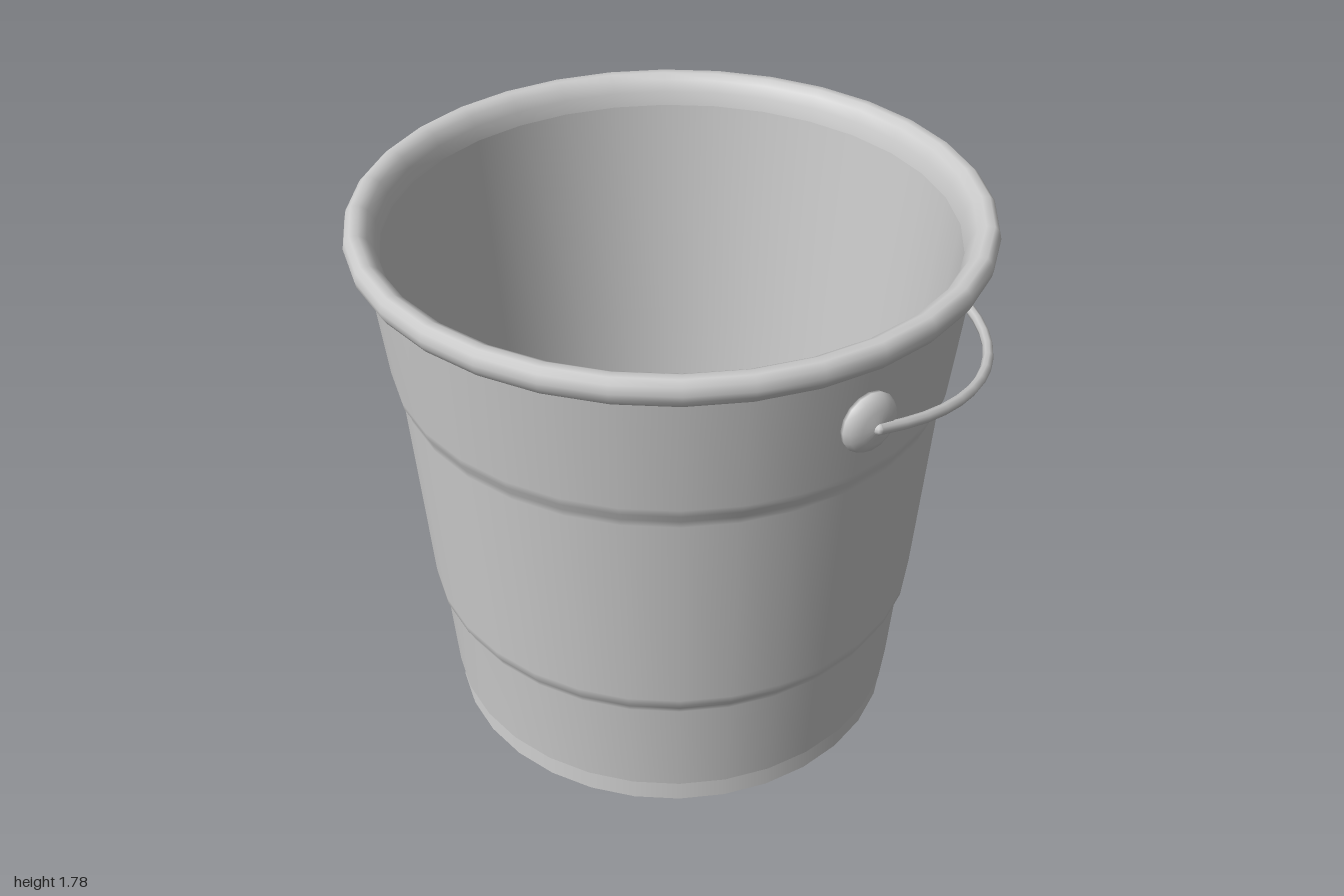
import * as THREE from 'three';

const SIDES = 32;
const CENTRE_Z = 0.02;

const material = new THREE.MeshStandardMaterial({ color: 0xcccccc });

// Turned part from [radius, height] pairs
function turned(name, profile, sides = SIDES) {
  const points = profile.map(([r, y]) => new THREE.Vector2(r, y));
  const mesh = new THREE.Mesh(new THREE.LatheGeometry(points, sides), material);
  mesh.name = name;
  return mesh;
}

export function createModel() {
  const model = new THREE.Group();
  model.name = 'bucket';

  const pail = new THREE.Group();
  pail.name = 'pail';
  pail.position.z = CENTRE_Z;
  model.add(pail);

  // Recessed underside and the foot ring around it
  pail.add(turned('underside', [[0, 0.05], [0.73, 0.05]]));
  pail.add(turned('footInside', [[0.73, 0.05], [0.735, 0]]));
  pail.add(turned('footBase', [[0.735, 0], [0.75, 0]]));
  pail.add(turned('foot', [[0.75, 0], [0.745, 0.08]]));
  pail.add(turned('bodyLip', [[0.745, 0.08], [0.76, 0.08]]));

  // Tapered outer wall with two stepped bands
  pail.add(turned('outerWall', [
    [0.76, 0.08], [0.785, 0.43], [0.79, 0.45], [0.807, 0.475], [0.81, 0.5],
    [0.859, 1.22], [0.864, 1.245], [0.88, 1.275], [0.885, 1.3], [0.925, 1.68],
  ]));

  // Rolled rim
  pail.add(turned('rim', [
    [0.925, 1.68], [0.945, 1.69], [0.966, 1.705], [0.978, 1.725], [0.982, 1.745],
    [0.976, 1.77], [0.96, 1.785], [0.935, 1.785], [0.91, 1.77], [0.89, 1.735], [0.88, 1.69],
  ]));

  // Smooth inner wall running into the floor
  pail.add(turned('innerWall', [
    [0.88, 1.69], [0.8, 0.9], [0.725, 0.14], [0.715, 0.1], [0.69, 0.08], [0, 0.08],
  ]));

  // Domed handle mounts, mirrored left and right
  for (const side of [1, -1]) {
    const mount = turned(side > 0 ? 'leftMount' : 'rightMount', [
      [0.04, -0.04], [0.04, 0], [0.092, 0.002], [0.095, 0.015],
      [0.085, 0.033], [0.055, 0.05], [0, 0.058],
    ], 16);
    mount.rotation.z = -side * Math.PI / 2;
    mount.position.set(side * 0.917, 1.51, 0);
    pail.add(mount);
  }

  // Wire handle: half an ellipse hanging down behind the pail
  const path = [];
  for (let i = 0; i <= 24; i++) {
    const a = (i / 24) * Math.PI;
    path.push(new THREE.Vector3(
      0.972 * Math.cos(a), 1.51 - 0.255 * Math.sin(a), -1.003 * Math.sin(a)));
  }
  const curve = new THREE.CatmullRomCurve3(path);
  const handle = new THREE.Mesh(new THREE.TubeGeometry(curve, 32, 0.017, 8), material);
  handle.name = 'handle';
  pail.add(handle);

  // Caps on the wire ends
  for (const side of [1, -1]) {
    const cap = new THREE.Mesh(new THREE.SphereGeometry(0.017, 8, 6), material);
    cap.name = side > 0 ? 'leftWireEnd' : 'rightWireEnd';
    cap.position.set(side * 0.972, 1.51, 0);
    pail.add(cap);
  }

  return model;
}
